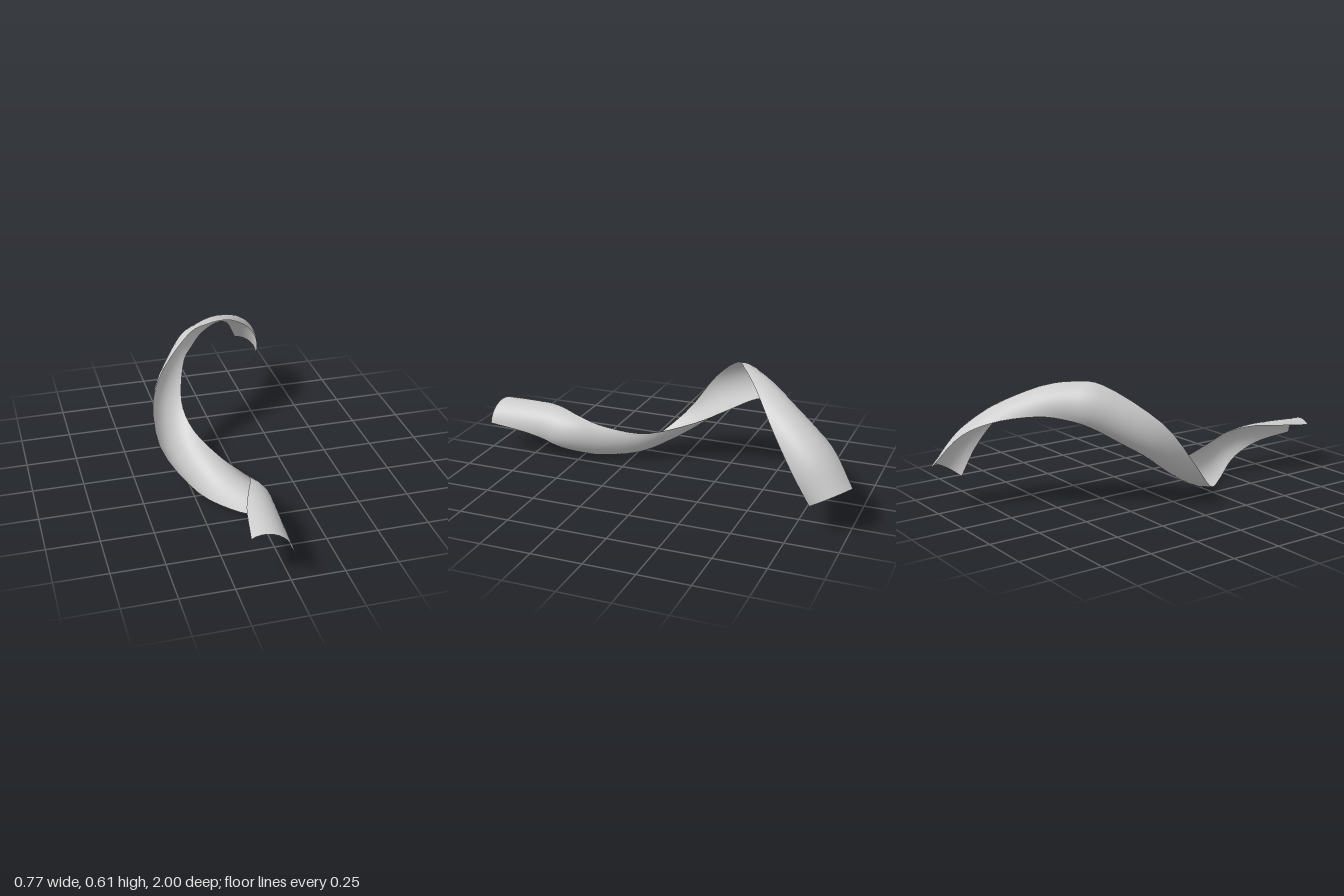
import * as THREE from 'three';

// Paired points along the two rims of the spiral trough, front end to back end
const innerRim = [
  [-0.175, 0.225, 0.965], [-0.14, 0.243, 0.77], [-0.095, 0.25, 0.64], [-0.048, 0.226, 0.5],
  [-0.055, 0.188, 0.37], [-0.105, 0.16, 0.17], [-0.185, 0.205, -0.03], [-0.207, 0.285, -0.2],
  [-0.15, 0.405, -0.39], [-0.08, 0.446, -0.49], [0, 0.463, -0.6], [0.12, 0.435, -0.76],
  [0.215, 0.365, -0.89], [0.29, 0.222, -1],
];
const outerRim = [
  [0.01, 0.14, 1], [0.018, 0.125, 0.82], [0.015, 0.1, 0.7], [-0.003, 0.055, 0.58],
  [-0.11, 0.005, 0.41], [-0.25, 0.035, 0.24], [-0.38, 0.2, 0.045], [-0.35, 0.425, -0.125],
  [-0.155, 0.59, -0.302], [-0.02, 0.61, -0.385], [0.13, 0.567, -0.49], [0.275, 0.44, -0.615],
  [0.345, 0.28, -0.73], [0.35, 0.13, -0.82],
];

const toCurve = (points) => new THREE.CatmullRomCurve3(
  points.map((p) => new THREE.Vector3(...p)), false, 'catmullrom', 0.5);

// Sweep a 120 degree arc whose ends follow the two rims
function troughGeometry(lengthSegments, arcSegments) {
  const inner = toCurve(innerRim);
  const outer = toCurve(outerRim);
  const middle = toCurve(innerRim.map((p, i) => p.map((v, k) => (v + outerRim[i][k]) / 2)));
  const halfAngle = Math.PI / 3;
  const geometry = new THREE.PlaneGeometry(1, 1, arcSegments, lengthSegments);
  const position = geometry.attributes.position;
  const uv = geometry.attributes.uv;
  for (let i = 0; i < position.count; i++) {
    const t = 1 - uv.getY(i);
    const a = (uv.getX(i) * 2 - 1) * halfAngle;
    const start = inner.getPoint(t);
    const chord = outer.getPoint(t).sub(start);
    const centre = start.addScaledVector(chord, 0.5);
    const radius = chord.length() / (2 * Math.sin(halfAngle));
    const across = chord.normalize();
    const bulge = across.clone().cross(middle.getTangent(t)).normalize();
    centre.addScaledVector(across, radius * Math.sin(a))
      .addScaledVector(bulge, radius * (Math.cos(a) - Math.cos(halfAngle)));
    position.setXYZ(i, centre.x, centre.y, centre.z);
  }
  geometry.computeVertexNormals();
  return geometry;
}

export function createModel() {
  const group = new THREE.Group();
  group.name = 'spiralTrough';
  const grey = new THREE.MeshStandardMaterial({ color: 0xcccccc, side: THREE.DoubleSide });
  grey.name = 'light grey';
  const trough = new THREE.Mesh(troughGeometry(48, 10), grey);
  trough.name = 'trough';
  group.add(trough);

  // Rest the model on the ground and centre it
  const box = new THREE.Box3().setFromObject(group);
  const centre = box.getCenter(new THREE.Vector3());
  trough.position.set(-centre.x, -box.min.y, -centre.z);
  return group;
}
